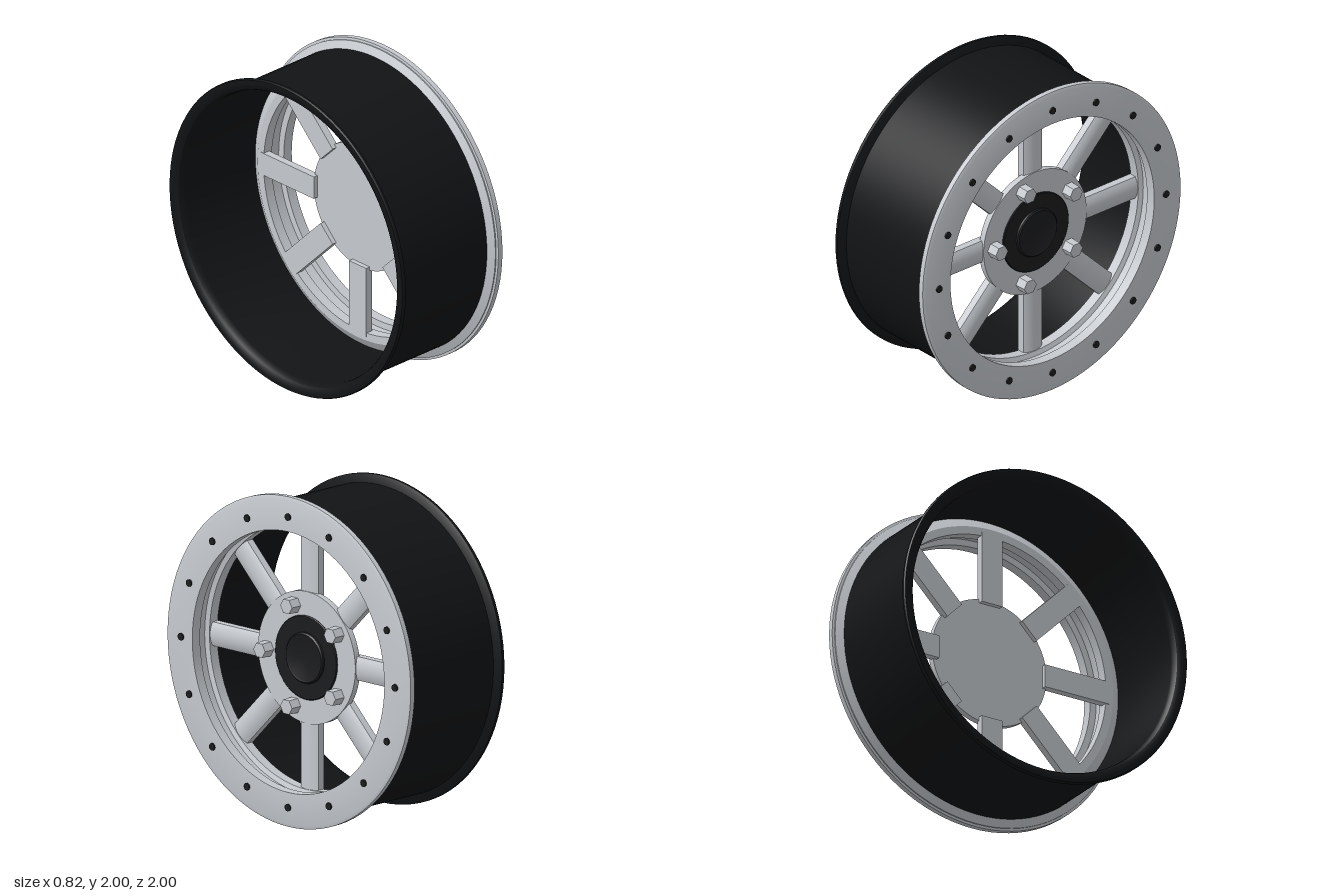
import * as THREE from 'three';
import { toCreasedNormals } from 'three/addons/utils/BufferGeometryUtils.js';

const metal = new THREE.MeshStandardMaterial({ color: 0xc6cacf });
const capBlack = new THREE.MeshStandardMaterial({ color: 0x1b1c1e });
const barrelBlack = new THREE.MeshStandardMaterial({ color: 0x111315 });

// Everything is built with the axle along +z (outer face at +z), then turned to +x.
function createMesh(name, geometry, material, parent) {
  const mesh = new THREE.Mesh(geometry, material);
  mesh.name = name;
  parent.add(mesh);
  return mesh;
}

// Profile of [radius, z] points, counterclockwise, turned around the axle.
function turned(profile, segments = 96) {
  const points = profile.map(([r, z]) => new THREE.Vector2(r, z));
  const geometry = new THREE.LatheGeometry(points, segments).rotateX(Math.PI / 2);
  return toCreasedNormals(geometry, 0.5);
}

// Repeats a geometry placed at a radius, keeping its own orientation.
function boltCircle(name, geometry, material, count, radius, z, start, parent) {
  const group = new THREE.Group();
  group.name = name + 's';
  for (let i = 0; i < count; i++) {
    const a = start + (i / count) * Math.PI * 2;
    createMesh(name, geometry, material, group)
      .position.set(Math.cos(a) * radius, Math.sin(a) * radius, z);
  }
  parent.add(group);
}

export function createModel() {
  const model = new THREE.Group();
  model.name = 'wheelRim';
  const wheel = new THREE.Group();
  wheel.name = 'wheel';
  wheel.rotation.y = Math.PI / 2;
  wheel.position.y = 1;
  model.add(wheel);

  // Black barrel with a rolled inboard flange
  createMesh('barrel', turned([
    [0.91, -0.35], [0.914, -0.375], [0.925, -0.395], [0.945, -0.407], [0.965, -0.41],
    [0.985, -0.409], [0.99, -0.4], [0.99, -0.385], [0.97, -0.375], [0.938, -0.365],
    [0.938, 0.33], [0.91, 0.33], [0.91, -0.35],
  ]), barrelBlack, wheel);

  // Outer clamp ring
  createMesh('outerRing', turned([
    [0.79, 0.335], [0.935, 0.325], [0.985, 0.35], [0.985, 0.357], [1, 0.36],
    [1, 0.393], [0.98, 0.4], [0.79, 0.4], [0.79, 0.335],
  ]), metal, wheel);

  // Recessed seat that carries the spoke ends
  createMesh('spokeSeat', turned([
    [0.8, 0.18], [0.85, 0.18], [0.912, 0.22], [0.912, 0.34],
    [0.83, 0.34], [0.83, 0.255], [0.8, 0.245], [0.8, 0.18],
  ]), metal, wheel);

  // Small bolts around the outer ring
  const ringBolt = new THREE.CylinderGeometry(0.022, 0.022, 0.03, 16).rotateX(Math.PI / 2);
  boltCircle('ringBolt', ringBolt, capBlack, 16, 0.88, 0.394, 0, wheel);

  // Eight spokes: flat back, softly crowned front
  const section = new THREE.Shape();
  section.moveTo(-0.072, -0.175);
  section.lineTo(-0.072, -0.222);
  section.quadraticCurveTo(0, -0.26, 0.072, -0.222);
  section.lineTo(0.072, -0.175);
  section.closePath();
  const spoke = toCreasedNormals(
    new THREE.ExtrudeGeometry(section, { depth: 0.45, bevelEnabled: false, curveSegments: 10 }), 0.4)
    .rotateX(-Math.PI / 2).translate(0, 0.37, 0);
  const spokes = new THREE.Group();
  spokes.name = 'spokes';
  for (let i = 0; i < 8; i++) {
    createMesh('spoke', spoke, metal, spokes).rotation.z = (i * Math.PI) / 4;
  }
  wheel.add(spokes);

  // Thin hub disc
  createMesh('hub', turned([
    [0, 0.205], [0.4, 0.205], [0.4, 0.245], [0, 0.245],
  ], 64), metal, wheel);

  // Black centre cap with a raised, rounded middle
  createMesh('centreCap', turned([
    [0.255, 0.24], [0.255, 0.25], [0.25, 0.254], [0.155, 0.254],
    [0.153, 0.265], [0.145, 0.272], [0.135, 0.268], [0, 0.268],
  ], 64), capBlack, wheel);

  // Five hexagonal lug nuts
  const nutBody = new THREE.CylinderGeometry(0.048, 0.05, 0.075, 6);
  const nut = toCreasedNormals(nutBody, 0.3).rotateY(Math.PI / 2).rotateX(Math.PI / 2);
  boltCircle('lugNut', nut, metal, 5, 0.32, 0.28, Math.PI, wheel);

  return model;
}
